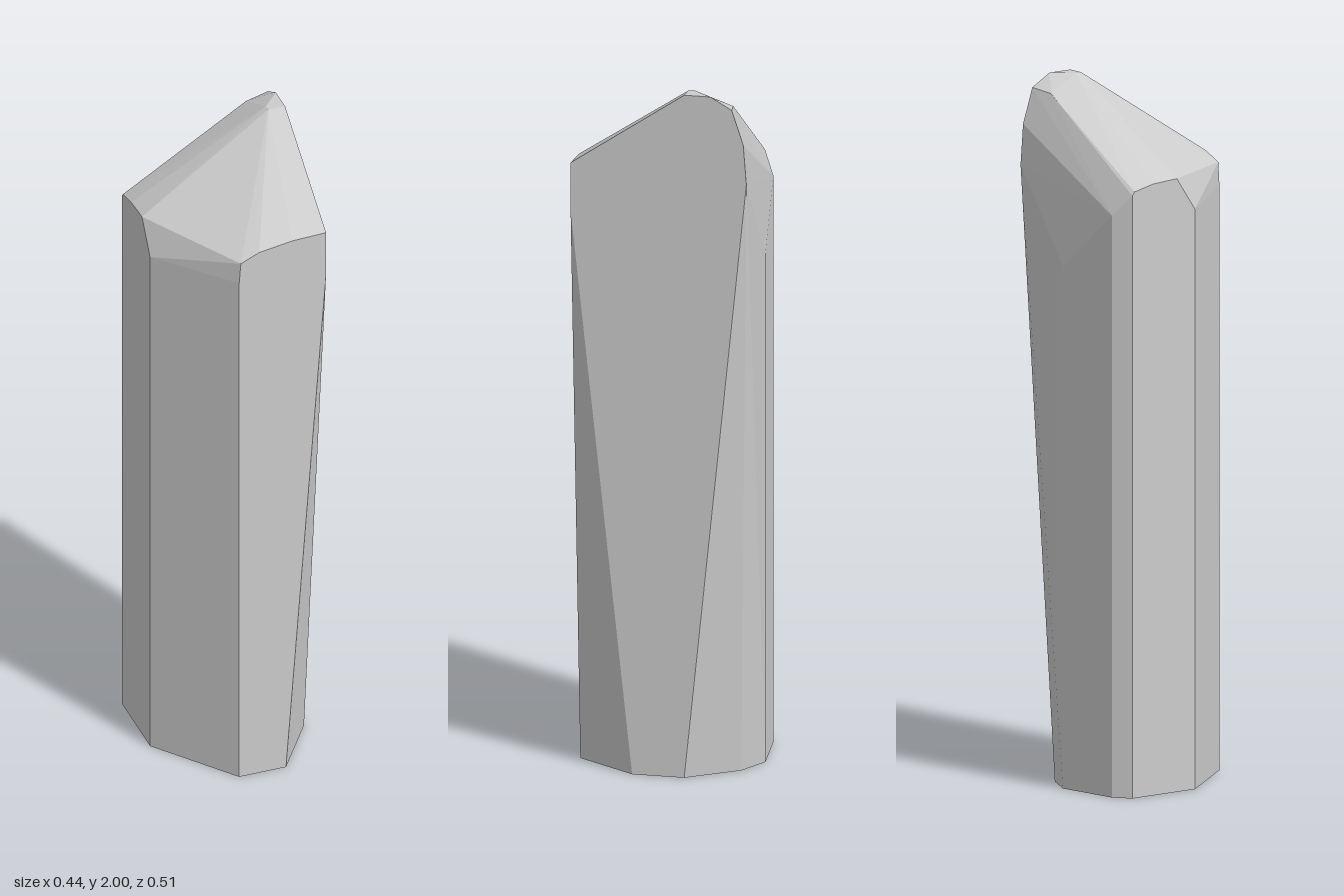
import * as THREE from 'three';
import { ConvexGeometry } from 'three/addons/geometries/ConvexGeometry.js';

// Faceted stone pillar: a convex block described by its corner rings.
export function createModel() {
  const group = new THREE.Group();
  group.name = 'stonePillar';
  const stone = new THREE.MeshStandardMaterial({ color: 0xcccccc });
  stone.name = 'paleStone';

  // footprint on the ground: x, z
  const foot = [
    [-0.04, 0.257], [0.1, 0.257], [0.22, 0.08], [0.22, -0.07], [0.115, -0.21],
    [0.02, -0.257], [-0.173, -0.235], [-0.22, -0.2], [-0.22, 0.025],
  ].map(([x, z]) => [x, 0, z]);

  // upper ends of the upright edges
  const shoulders = [
    [0.22, 1.64, 0.257], [-0.04, 1.67, 0.257], [-0.22, 1.655, 0.025],
    [-0.22, 1.72, -0.2], [-0.173, 1.66, -0.235], [0.02, 1.49, -0.257],
    [0.22, 1.75, -0.249],
  ];

  // gently arched front lip and left rim
  const rim = [
    [-0.035, 1.735, 0.257], [0.02, 1.76, 0.257], [0.12, 1.776, 0.257], [0.22, 1.78, 0.257],
    [-0.22, 1.75, -0.04], [-0.22, 1.745, -0.125], [-0.22, 1.73, -0.192],
  ];

  // peak and rounded back of the sloping top
  const peak = [
    [0.17, 2, -0.072], [0.22, 2, -0.07], [0.22, 2, -0.145], [0.17, 2, -0.09],
    [0.15, 1.956, -0.195], [0.22, 1.965, -0.207], [0.22, 1.865, -0.24],
  ];

  const points = [...foot, ...shoulders, ...rim, ...peak].map((p) => new THREE.Vector3(...p));
  const pillar = new THREE.Mesh(new ConvexGeometry(points), stone);
  pillar.name = 'pillar';
  group.add(pillar);
  return group;
}
